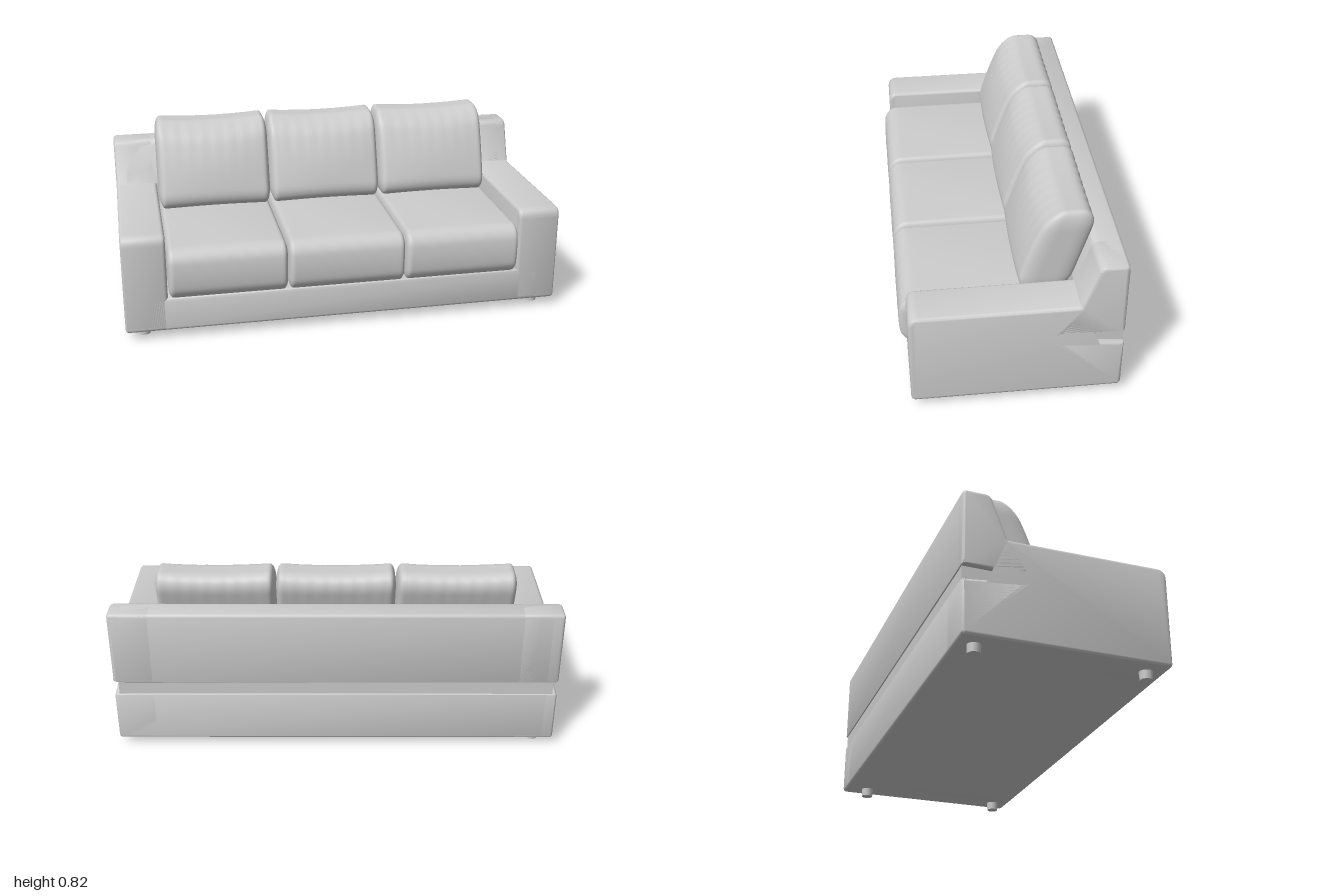
import * as THREE from 'three';
import { mergeVertices, toCreasedNormals } from 'three/addons/utils/BufferGeometryUtils.js';

const fabric = new THREE.MeshStandardMaterial({ color: 0xcccccc });
fabric.name = 'light grey fabric';

// Closed shape from [z, y, cornerRadius] points, each corner rounded
function roundedShape(points) {
  const shape = new THREE.Shape();
  const n = points.length;
  points.forEach(([x, y, r], i) => {
    const p = new THREE.Vector2(x, y);
    const toward = ([qx, qy]) => new THREE.Vector2(qx, qy).sub(p).setLength(r).add(p);
    const a = toward(points[(i + n - 1) % n]);
    const b = toward(points[(i + 1) % n]);
    if (i === 0) shape.moveTo(a.x, a.y);
    else shape.lineTo(a.x, a.y);
    shape.quadraticCurveTo(x, y, b.x, b.y);
  });
  shape.closePath();
  return shape;
}

// Side profile extruded along x with softened edges
function sideExtrude(name, points, x0, x1, bevel) {
  const geo = new THREE.ExtrudeGeometry(roundedShape(points), {
    depth: x1 - x0 - 2 * bevel, curveSegments: 6,
    bevelEnabled: true, bevelSize: bevel, bevelThickness: bevel, bevelOffset: -bevel, bevelSegments: 4,
  });
  geo.rotateY(-Math.PI / 2);
  geo.translate(x1 - bevel, 0, 0);
  const mesh = new THREE.Mesh(toCreasedNormals(geo, 0.6), fabric);
  mesh.name = name;
  return mesh;
}

// Dense box with elliptical rounded edges, then reshaped by a rule
function cushion(name, size, radii, rule) {
  let geo = new THREE.BoxGeometry(2, 2, 2, 40, 32, 28);
  geo.deleteAttribute('uv');
  geo.deleteAttribute('normal');
  geo = mergeVertices(geo);
  const pos = geo.attributes.position;
  for (let i = 0; i < pos.count; i++) {
    const inner = [], d = new THREE.Vector3();
    for (let k = 0; k < 3; k++) {
      const half = size[k] / 2, lim = half - radii[k];
      const c = Math.sin(pos.getComponent(i, k) * Math.PI / 2) * half;
      inner[k] = THREE.MathUtils.clamp(c, -lim, lim);
      d.setComponent(k, (c - inner[k]) / radii[k]);
    }
    d.normalize();
    const p = new THREE.Vector3(...inner.map((v, k) => v + d.getComponent(k) * radii[k]));
    rule(p);
    pos.setXYZ(i, p.x, p.y, p.z);
  }
  geo.computeVertexNormals();
  const mesh = new THREE.Mesh(geo, fabric);
  mesh.name = name;
  return mesh;
}

// 1 in the middle, 0 at the border
const dome = (a, b) => Math.max(0, 1 - a * a) * Math.max(0, 1 - b * b);

function seatCushion(x, seed) {
  const w = 0.533, h = 0.235, d = 0.73;
  const mesh = cushion('seatCushion', [w, h, d], [0.022, 0.06, 0.045], (p) => {
    const u = p.x / (w / 2), v = p.y / (h / 2), t = p.z / (d / 2);
    // soft crown on top, belly at the front, faint diagonal folds
    if (p.y > 0) p.y += 0.014 * v * dome(u, t);
    if (p.z > 0) {
      p.z += 0.018 * t ** 4 * Math.max(0, 1 - v * v);
      p.z += 0.002 * t ** 8 * Math.sin(20 * u + 5 * v + seed) * dome(u, v);
    }
  });
  mesh.position.set(x, 0.305, 0.087);
  return mesh;
}

function backCushion(x, seed) {
  const w = 0.533, h = 0.395, d = 0.225;
  const mesh = cushion('backCushion', [w, h, d], [0.028, 0.085, 0.075], (p) => {
    const u = p.x / (w / 2), v = p.y / (h / 2), t = p.z / (d / 2);
    const s = v / 2 + 0.5;
    // plump front and gathered folds along the top seam
    if (t > 0) p.z += t * (0.018 * dome(u, v) - 0.03 * s ** 4);
    p.z += 0.003 * t * Math.sin(26 * u + seed) * s ** 3 * Math.max(0, 1 - u * u);
    // raised corners
    p.y += 0.012 * u * u * s ** 4 - 0.005 * s ** 4;
    // lean backwards
    p.z += -0.136 - 0.123 * s;
  });
  mesh.position.set(x, 0.42 + h / 2, 0);
  return mesh;
}

export function createModel() {
  const sofa = new THREE.Group();
  sofa.name = 'sofa';

  // Arms: long side panels rising to the backrest, with a wedge slot at the rear
  const armProfile = [
    [0.437, 0.038, 0.02], [0.437, 0.49, 0.045], [-0.27, 0.49, 0.005], [-0.342, 0.69, 0.03],
    [-0.463, 0.69, 0.02], [-0.463, 0.345, 0.005], [-0.19, 0.342, 0.008], [-0.172, 0.322, 0.008],
    [-0.21, 0.308, 0.008], [-0.463, 0.28, 0.005], [-0.463, 0.038, 0.02],
  ];
  sofa.add(sideExtrude('leftArm', armProfile, 0.805, 0.998, 0.016));
  sofa.add(sideExtrude('rightArm', armProfile, -0.998, -0.805, 0.016));

  // Recessed filling seen inside the slots
  const filling = new THREE.Mesh(new THREE.BoxGeometry(1.95, 0.12, 0.34), fabric);
  filling.name = 'slotFilling';
  filling.position.set(0, 0.312, -0.288);
  sofa.add(filling);

  // Backrest with a sloped front and a shallow band across the rear
  sofa.add(sideExtrude('backrest', [
    [-0.25, 0.038, 0.01], [-0.27, 0.49, 0.005], [-0.342, 0.69, 0.03], [-0.463, 0.69, 0.02],
    [-0.463, 0.345, 0.002], [-0.455, 0.341, 0.002], [-0.455, 0.284, 0.002], [-0.463, 0.28, 0.002],
    [-0.463, 0.038, 0.02],
  ], -0.95, 0.95, 0.004));

  // Base under the seat
  sofa.add(sideExtrude('base', [
    [0.437, 0.038, 0.02], [0.437, 0.195, 0.015], [-0.4, 0.195, 0.01], [-0.4, 0.038, 0.01],
  ], -0.9, 0.9, 0.004));

  // Three seat and back cushions
  [-0.535, 0, 0.535].forEach((x, i) => {
    sofa.add(seatCushion(x, i * 2.1));
    sofa.add(backCushion(x, i * 1.7));
  });

  // Short round feet
  const footGeo = new THREE.CylinderGeometry(0.03, 0.027, 0.05, 24);
  for (const [x, z] of [[0.915, 0.353], [-0.915, 0.353], [0.915, -0.35], [-0.915, -0.385]]) {
    const foot = new THREE.Mesh(footGeo, fabric);
    foot.name = 'foot';
    foot.position.set(x, 0.025, z);
    sofa.add(foot);
  }
  return sofa;
}
